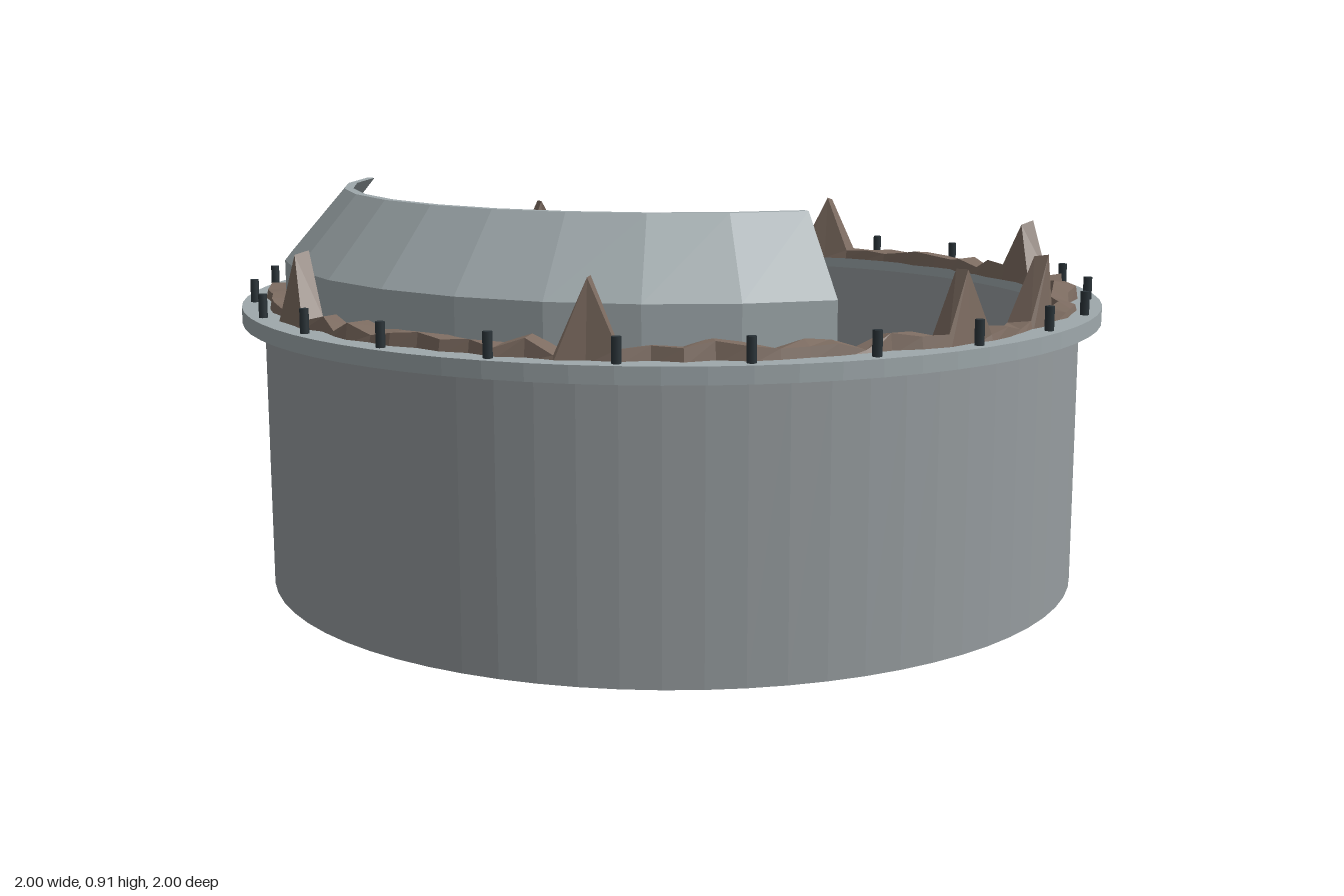
import * as THREE from 'three';

const RAD = Math.PI / 180;

// Small seeded generator, returns values from -1 to 1
function makeJitter(seed) {
  return () => {
    seed = (seed * 16807) % 2147483647;
    return (seed / 2147483647) * 2 - 1;
  };
}

// Sweeps [radius, y] sections around the y axis with flat facets.
// Each section runs counter-clockwise: up the outside, down the inside.
function sweep(count, start, length, sectionAt) {
  const closed = length >= 360;
  const pos = [];
  const rings = [];
  for (let i = 0; i <= count; i++) {
    const a = (start + (length * i) / count) * RAD;
    const section = sectionAt(closed ? i % count : i);
    rings.push(section.map(([r, y]) => [Math.sin(a) * r, y, Math.cos(a) * r]));
  }
  const quad = (a, b, c, d) => pos.push(...a, ...b, ...c, ...a, ...c, ...d);
  const n = rings[0].length;
  for (let i = 0; i < count; i++) {
    for (let j = 0; j < n; j++) {
      const k = (j + 1) % n;
      quad(rings[i][j], rings[i + 1][j], rings[i + 1][k], rings[i][k]);
    }
  }
  if (!closed) {
    const s = rings[0], e = rings[count];
    for (let j = 0; j < n / 2 - 1; j++) {
      quad(s[j], s[j + 1], s[n - 2 - j], s[n - 1 - j]);
      quad(e[n - 1 - j], e[n - 2 - j], e[j + 1], e[j]);
    }
  }
  const geo = new THREE.BufferGeometry();
  geo.setAttribute('position', new THREE.Float32BufferAttribute(pos, 3));
  geo.computeVertexNormals();
  return geo;
}

export function createModel() {
  const model = new THREE.Group();
  model.name = 'brokenRing';

  const material = (name, color) => {
    const m = new THREE.MeshStandardMaterial({ color });
    m.name = name;
    return m;
  };
  const steel = material('steelGrey', 0x969c9f);
  const paleSteel = material('paleSteel', 0x9ea8ab);
  const rock = material('brownRock', 0x7d6c61);
  const dark = material('darkMetal', 0x2a3338);

  const add = (name, geo, mat, parent = model) => {
    const mesh = new THREE.Mesh(geo, mat);
    mesh.name = name;
    parent.add(mesh);
    return mesh;
  };

  // Tubular wall and the flange on top of it
  const tube = (ri, ro, y0, y1) =>
    sweep(72, 0, 360, () => [[ro, y0], [ro, y1], [ri, y1], [ri, y0]]);
  add('wall', tube(0.93, 0.95, 0, 0.615), steel);
  add('flange', tube(0.92, 1.0, 0.612, 0.648), paleSteel);

  // Curved shield leaning inward over part of the rim
  const shieldSection = [
    [0.9, 0.64], [0.9, 0.75], [0.762, 0.91],
    [0.742, 0.91], [0.88, 0.745], [0.88, 0.64],
  ];
  add('shield', sweep(10, -50.8, 122.8, () => shieldSection), paleSteel);

  // Jagged rubble ring with tall spikes
  const steps = 96;
  const spikes = new Set(
    [-7, 41, 90, 109, 158, 202, 255, 302].map(
      (deg) => (Math.round((deg * steps) / 360) + steps) % steps
    )
  );
  const jitter = makeJitter(4711);
  const rubble = [];
  for (let i = 0; i < steps; i++) {
    const r = 0.917 + jitter() * 0.014;
    const half = 0.022 + jitter() * 0.006;
    const spike = spikes.has(i);
    const top = spike ? 0.8 + jitter() * 0.01 : 0.672 + jitter() * 0.014;
    const tip = spike ? 0.016 : half;
    rubble.push([
      [r + half + 0.006, 0.64],
      [r + tip, top + jitter() * 0.007],
      [r - tip, top + jitter() * 0.007],
      [r - half - 0.004, 0.64],
    ]);
  }
  add('rubbleRing', sweep(steps, 0, 360, (i) => rubble[i]), rock);

  // Studs around the flange
  const studs = new THREE.Group();
  studs.name = 'studs';
  model.add(studs);
  const studGeo = new THREE.CylinderGeometry(0.01, 0.01, 0.06, 8);
  for (let i = 0; i < 24; i++) {
    const a = i * 15 * RAD;
    const stud = add('stud', studGeo, dark, studs);
    stud.position.set(Math.sin(a) * 0.972, 0.67, Math.cos(a) * 0.972);
  }
  return model;
}
